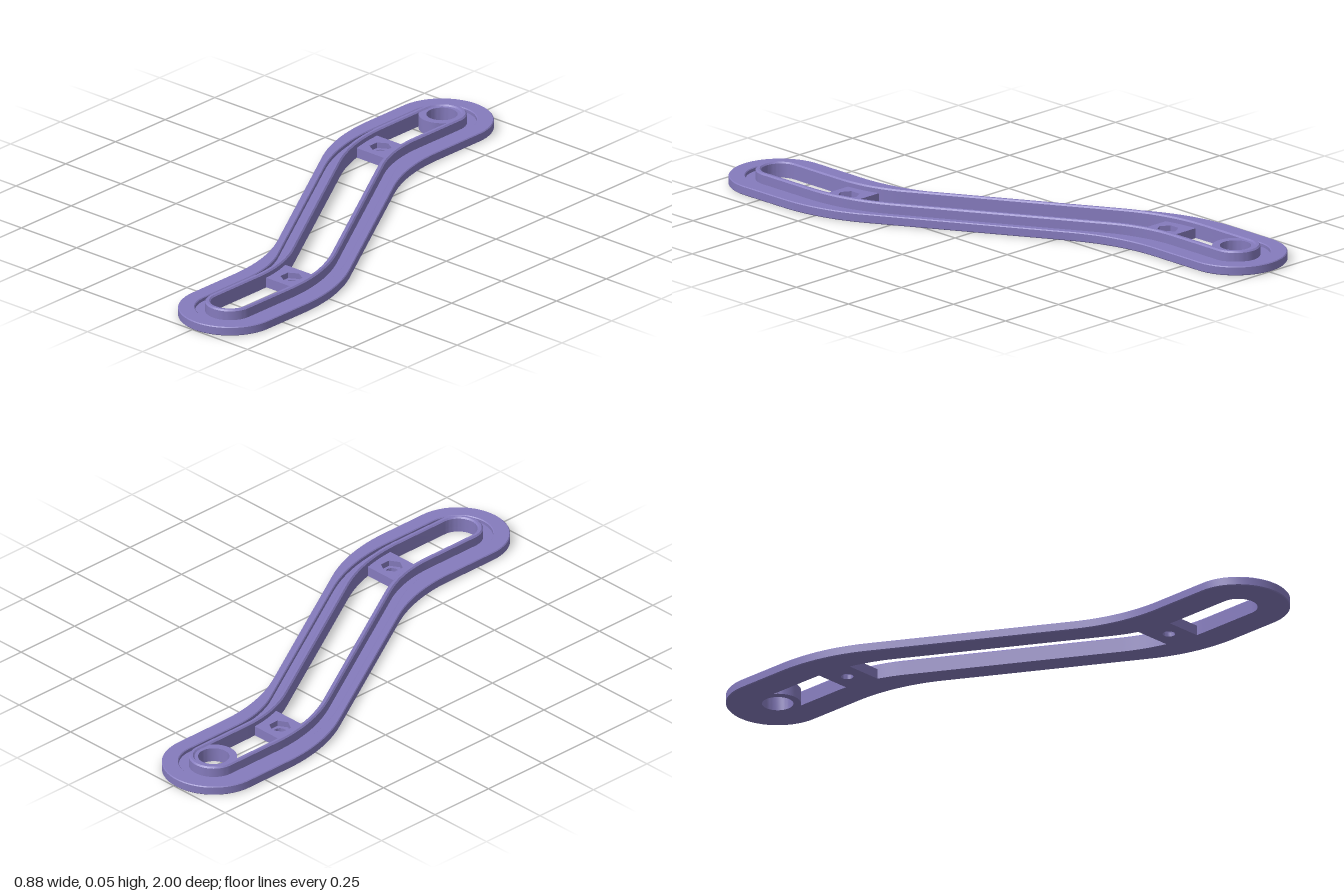
import * as THREE from 'three';
import { toCreasedNormals } from 'three/addons/utils/BufferGeometryUtils.js';

const V = (x, z) => new THREE.Vector2(x, -z); // plan position -> shape space
const END_X = 0.263, END_Z = 0.825, BEND = Math.PI / 6;

// Back half of one edge (s = +1 or -1): straight end, rounded bend, start of the diagonal
function halfEdge(s, endW, midW, R) {
  const x0 = -END_X + s * endW;
  const corner = (x0 - s * midW / Math.cos(BEND)) / Math.tan(BEND);
  const start = corner - R * Math.tan(BEND / 2);
  const pts = [V(x0, -END_Z)];
  for (let i = 0; i <= 16; i++) {
    const a = BEND * i / 16;
    pts.push(V(x0 + R * (1 - Math.cos(a)), start + R * Math.sin(a)));
  }
  return pts;
}

// Whole edge of the S-shaped arm; the front half is the back half turned by 180 degrees
function edge(s, endW, midW = endW, bendR) {
  const half = side => halfEdge(side, endW, midW, bendR ?? 0.56 - side * endW);
  return [...half(s), ...half(-s).map(p => p.negate()).reverse()];
}

// Closed round-ended outline; the diagonal may be narrower than the ends
function outline(endW, midW, bendR) {
  const cap = s => Array.from({ length: 31 }, (_, i) => {
    const t = (i + 1) / 32 * Math.PI;
    return V(s * (END_X + endW * Math.cos(t)), s * (END_Z + endW * Math.sin(t)));
  });
  return [
    ...edge(1, endW, midW, bendR), ...cap(1),
    ...edge(-1, endW, midW, bendR).reverse(), ...cap(-1),
  ];
}

// x of an offset edge at a given z
function edgeX(s, w, z) {
  const pts = edge(s, w);
  const i = pts.findIndex(p => -p.y >= z);
  const a = pts[i - 1], b = pts[i];
  return a.x + (b.x - a.x) * (z + a.y) / (a.y - b.y);
}

// Regular polygon or circle in plan
function ngon(x, z, r, n) {
  return Array.from({ length: n }, (_, i) => {
    const t = (i / n) * 2 * Math.PI;
    return V(x + r * Math.sin(t), z + r * Math.cos(t));
  });
}

const material = new THREE.MeshStandardMaterial({ color: 0x857bbd });

// Same points in counter-clockwise (or clockwise) order
function wind(points, clockwise) {
  return THREE.ShapeUtils.isClockWise(points) === clockwise ? points : [...points].reverse();
}

// Upright prism with a hole, from y0 to y1, with optional chamfered edges
function prism(name, points, hole, y0, y1, bevel = 0) {
  const shape = new THREE.Shape(wind(points, false));
  shape.holes.push(new THREE.Path(wind(hole, true)));
  const geo = new THREE.ExtrudeGeometry(shape, {
    depth: y1 - y0 - 2 * bevel, bevelEnabled: bevel > 0, bevelSegments: 1,
    bevelSize: bevel, bevelThickness: bevel, bevelOffset: -bevel,
  });
  geo.rotateX(-Math.PI / 2);
  geo.translate(0, y0 + bevel, 0);
  const mesh = new THREE.Mesh(toCreasedNormals(geo, 0.6), material);
  mesh.name = name;
  return mesh;
}

// Cross block between the rails, with a hexagonal nut pocket over a screw hole
function nutBlock(name, s) {
  const g = new THREE.Group();
  g.name = name;
  const x = s * 0.255, z = s * 0.507;
  const zs = Array.from({ length: 9 }, (_, i) => z - 0.062 + 0.124 * i / 8);
  const plan = [
    ...zs.map(v => V(edgeX(1, 0.072, v), v)),
    ...zs.map(v => V(edgeX(-1, 0.072, v), v)).reverse(),
  ];
  g.add(prism('screwHoleLayer', plan, ngon(x, z, 0.021, 24), 0, 0.015));
  g.add(prism('nutPocketLayer', plan, ngon(x, z, 0.038, 6), 0.015, 0.035));
  return g;
}

export function createModel() {
  const model = new THREE.Group();
  model.name = 'curvedArm';

  // Base plate: outer rim and sunken groove floor
  model.add(prism('outerRim', outline(0.175, 0.145, 0.63), outline(0.118), 0, 0.032, 0.003));
  model.add(prism('grooveFloor', outline(0.124), outline(0.065), 0, 0.018));

  // Raised lip around the long slot
  model.add(prism('raisedLip', outline(0.084), outline(0.065), 0.01, 0.055, 0.005));

  // Cross blocks and the round boss at the back end
  model.add(nutBlock('backNutBlock', -1), nutBlock('frontNutBlock', 1));
  const boss = r => ngon(-END_X, -END_Z, r, 48);
  model.add(prism('pivotBoss', boss(0.079), boss(0.053), 0, 0.05));

  return model;
}
